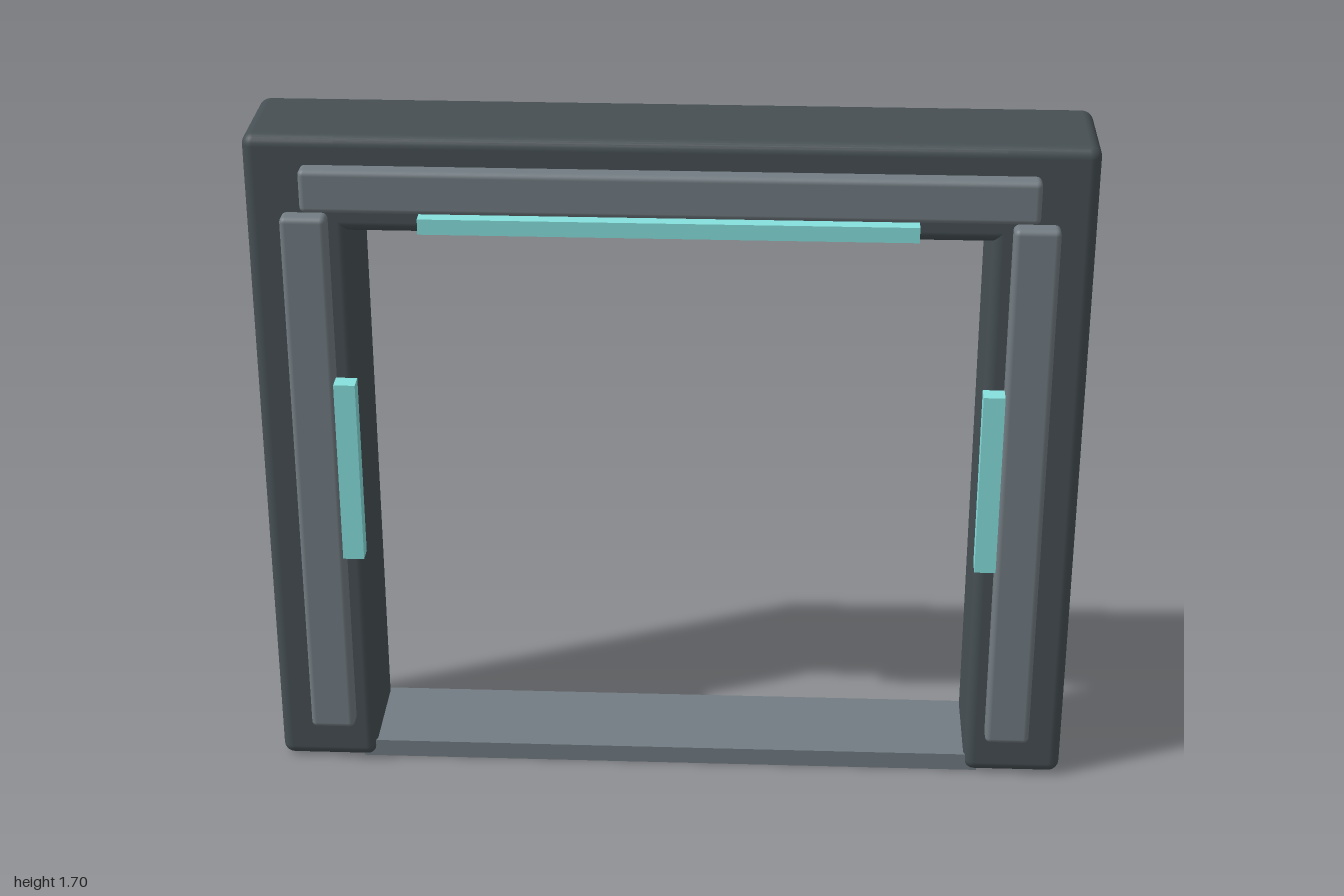
import * as THREE from 'three';
import { RoundedBoxGeometry } from 'three/addons/geometries/RoundedBoxGeometry.js';

function material(name, color) {
  const m = new THREE.MeshStandardMaterial({ color });
  m.name = name;
  return m;
}

export function createModel() {
  const darkMetal = material('dark metal', 0x464f53);
  const greyMetal = material('grey metal', 0x727c82);
  const tealLight = material('teal light', 0x86e0de);

  const model = new THREE.Group();
  model.name = 'doorFrame';

  // Box given by its limits; a radius rounds the edges
  const box = (name, mat, [x0, x1], [y0, y1], [z0, z1], radius = 0) => {
    const size = [x1 - x0, y1 - y0, z1 - z0];
    const geometry = radius
      ? new RoundedBoxGeometry(...size, 3, radius)
      : new THREE.BoxGeometry(...size);
    const mesh = new THREE.Mesh(geometry, mat);
    mesh.name = name;
    mesh.position.set((x0 + x1) / 2, (y0 + y1) / 2, (z0 + z1) / 2);
    model.add(mesh);
  };

  // Same box on the left (+x) and mirrored on the right (-x)
  const pair = (name, mat, [x0, x1], ...rest) => {
    box('left' + name, mat, [x0, x1], ...rest);
    box('right' + name, mat, [-x1, -x0], ...rest);
  };

  // Frame: two jambs joined by a lintel, with rounded edges
  const depth = [-0.162, 0.125];
  pair('Jamb', darkMetal, [0.755, 1], [0.002, 1.7], depth, 0.028);
  box('lintel', darkMetal, [-1, 1], [1.46, 1.7], depth, 0.028);

  // Threshold between the jambs
  box('sill', greyMetal, [-0.79, 0.79], [0, 0.046], [-0.15, 0.112]);

  // Raised trim on both faces
  for (const [face, z] of [['Front', [0.09, 0.166]], ['Back', [-0.182, -0.106]]]) {
    box('lintelTrim' + face, greyMetal, [-0.864, 0.864], [1.523, 1.63], z, 0.014);
    pair('JambTrim' + face, greyMetal, [0.804, 0.914], [0.113, 1.511], z, 0.014);
  }

  // Light strips around the opening, on the front only
  const lightZ = [0.138, 0.183];
  box('lintelLight', tealLight, [-0.585, 0.585], [1.483, 1.521], lightZ);
  pair('JambLight', tealLight, [0.752, 0.804], [0.617, 1.09], lightZ);

  return model;
}
